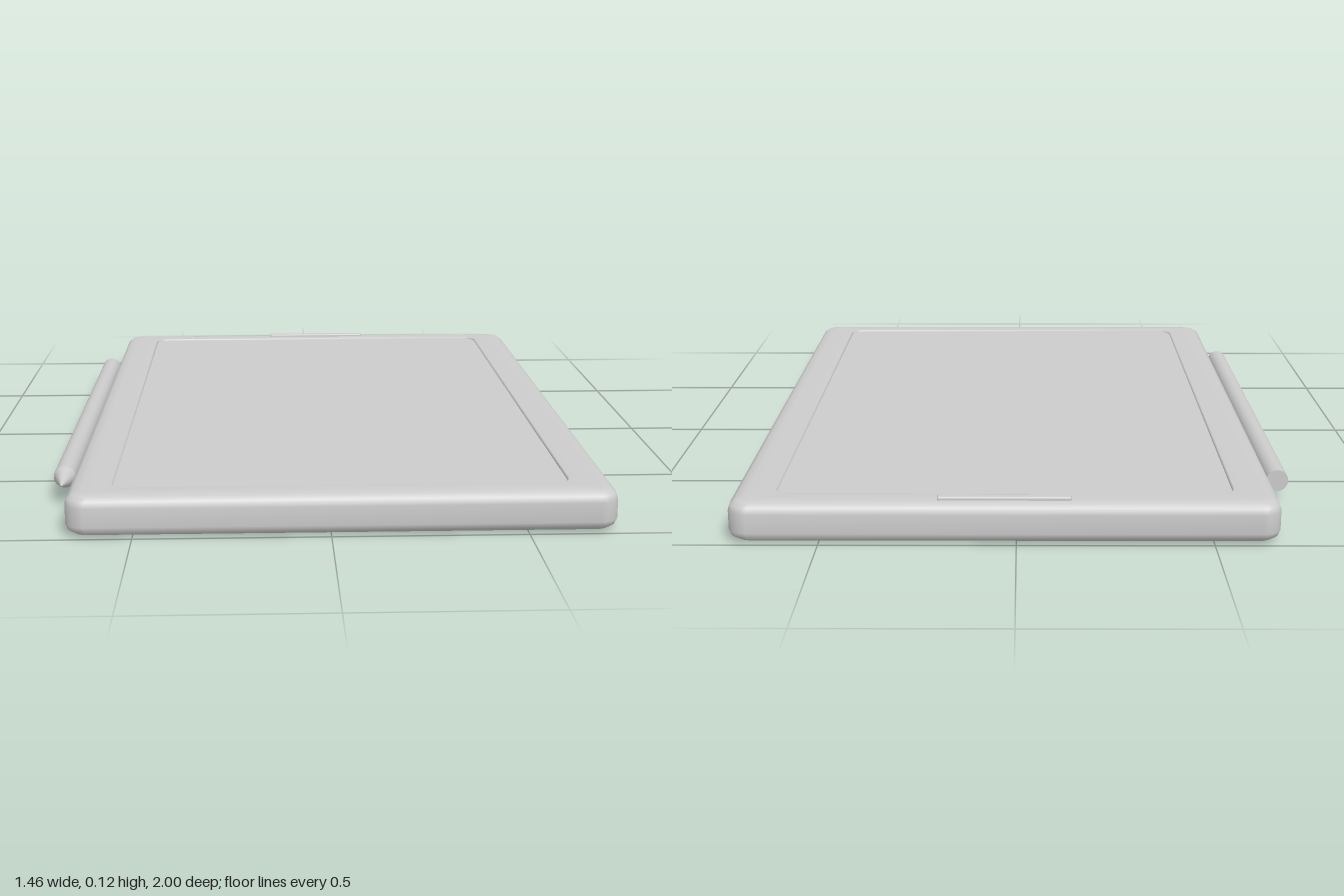
import * as THREE from 'three';
import { RoundedBoxGeometry } from 'three/addons/geometries/RoundedBoxGeometry.js';

const mat = new THREE.MeshStandardMaterial({ color: 0xcccccc });
const STEPS = 6;

// One rounded-rectangle loop in the xz plane, as flat coordinates
function roundedLoop([hx, hz, r, y]) {
  const out = [];
  for (let q = 0; q < 4; q++) {
    const sx = q === 0 || q === 3 ? 1 : -1, sz = q < 2 ? 1 : -1;
    for (let s = 0; s <= STEPS; s++) {
      const a = (q + s / STEPS) * Math.PI / 2;
      out.push(sx * (hx - r) + r * Math.cos(a), y, sz * (hz - r) + r * Math.sin(a));
    }
  }
  return out;
}

// Skin a stack of rounded-rectangle loops [halfX, halfZ, radius, y]
function loft(loops) {
  const n = 4 * (STEPS + 1), index = [];
  for (let i = 0; i < loops.length - 1; i++) {
    for (let j = 0; j < n; j++) {
      const a = i * n + j, b = i * n + (j + 1) % n, c = a + n, d = b + n;
      index.push(a, c, b, b, c, d);
    }
  }
  const g = new THREE.BufferGeometry();
  g.setAttribute('position', new THREE.Float32BufferAttribute(loops.flatMap(roundedLoop), 3));
  g.setIndex(index);
  g.computeVertexNormals();
  return g;
}

export function createModel() {
  const group = new THREE.Group();
  const add = (name, geometry, x, y, z) => {
    const m = new THREE.Mesh(geometry, mat);
    m.name = name;
    m.position.set(x, y, z);
    group.add(m);
    return m;
  };

  // Slab body: flat back, softened edges, bezel and shallow screen recess
  const HX = 0.7, HZ = 1, H = 0.11;
  const edge = (inset, y) => [HX - inset, HZ - inset, 0.05 - inset * 0.5, y];
  add('body', loft([
    [0, 0, 0, 0],
    edge(0.04, 0), edge(0.018, 0.006), edge(0.005, 0.016), edge(0, 0.03),
    edge(0, H - 0.03), edge(0.005, H - 0.014), edge(0.018, H - 0.004), edge(0.04, H),
    [0.59, 0.918, 0.045, H], [0.585, 0.913, 0.04, H - 0.003], [0.585, 0.913, 0.04, H - 0.01],
  ]), 0.03, 0, 0);

  // Screen panel inside the bezel
  add('screen', loft([[0.587, 0.915, 0.04, 0], [0, 0, 0, 0]]), 0.03, H - 0.006, 0);

  // Thin raised bar on the bezel behind the screen
  add('speakerBar', new RoundedBoxGeometry(0.34, 0.016, 0.026, 2, 0.005), 0.03, H, -0.956);

  // Stylus lying along the right side, tip toward the front
  const R = 0.03, px = -0.705, py = 0.062;
  add('stylusBarrel', new THREE.CylinderGeometry(R, R, 1.34, 24), px, py, -0.005).rotation.x = Math.PI / 2;
  add('stylusTip', new THREE.ConeGeometry(R, 0.085, 24), px, py, 0.7075).rotation.x = Math.PI / 2;

  return group;
}
